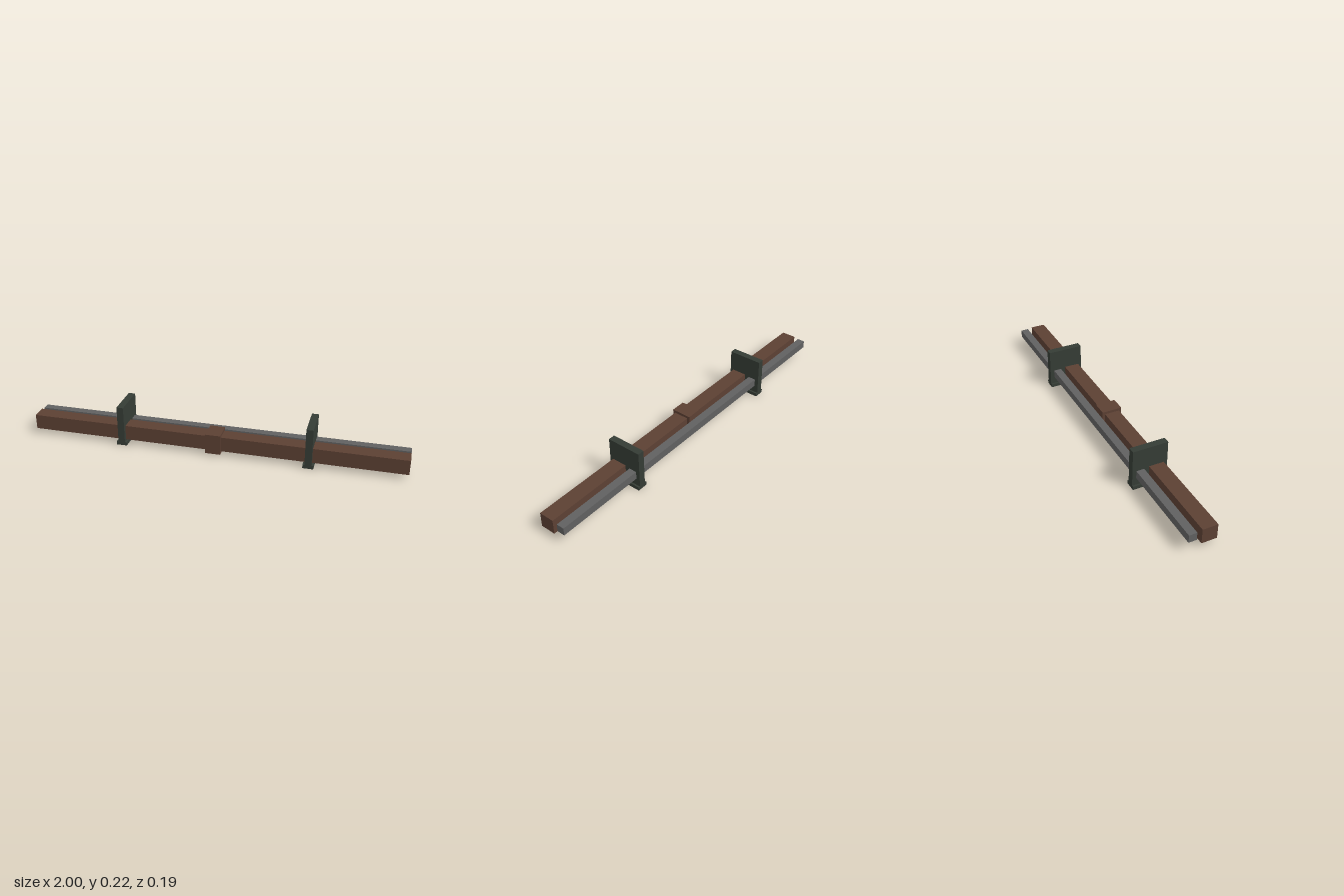
import * as THREE from 'three';

const brown = new THREE.MeshStandardMaterial({ name: 'rust brown', color: 0x5c4033 });
const grey = new THREE.MeshStandardMaterial({ name: 'steel grey', color: 0x606060 });
const green = new THREE.MeshStandardMaterial({ name: 'dark green', color: 0x353c35 });

// Box given by its size and centre
function box(name, material, [w, h, d], [x, y, z]) {
  const mesh = new THREE.Mesh(new THREE.BoxGeometry(w, h, d), material);
  mesh.name = name;
  mesh.position.set(x, y, z);
  return mesh;
}

export function createModel() {
  const model = new THREE.Group();
  model.name = 'supportedPipes';

  // Two parallel square pipes, the large one with a joint collar
  model.add(
    box('largePipe', brown, [2, 0.08, 0.08], [0, 0.067, 0.035]),
    box('pipeCollar', brown, [0.08, 0.108, 0.108], [0, 0.067, 0.035]),
    box('smallPipe', grey, [2, 0.042, 0.042], [0, 0.08, -0.052])
  );

  // Upright supports with wider feet
  for (const side of [-1, 1]) {
    const support = new THREE.Group();
    support.name = side > 0 ? 'leftSupport' : 'rightSupport';
    support.position.x = side * 0.5;
    support.add(
      box('supportPlate', green, [0.036, 0.201, 0.188], [0, 0.1195, 0]),
      box('supportFoot', green, [0.056, 0.019, 0.188], [0, 0.0095, 0])
    );
    model.add(support);
  }
  return model;
}
